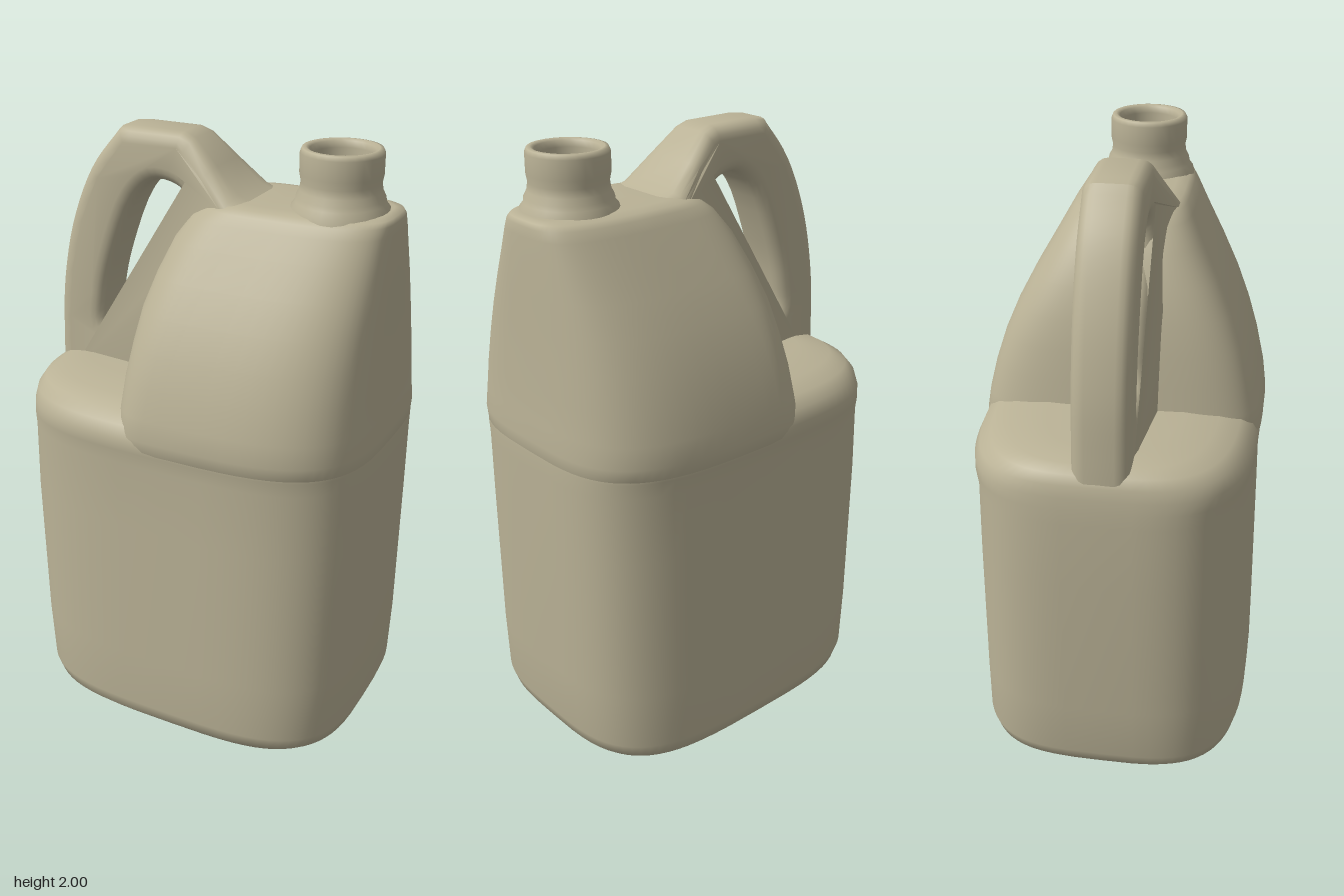
import * as THREE from 'three';
import { mergeVertices, toCreasedNormals } from 'three/addons/utils/BufferGeometryUtils.js';

const SEG = 72;

// Stacks superellipse rings: [y, centreX, leftHalf, rightHalf, halfDepth], capped at both ends
function loft(rows, power) {
  const pos = [], index = [];
  const sp = (v) => Math.sign(v) * Math.pow(Math.abs(v), 2 / power);
  for (const [y, cx, left, right, depth] of rows) {
    for (let i = 0; i < SEG; i++) {
      const a = (i / SEG) * Math.PI * 2;
      const c = sp(Math.cos(a)), s = sp(Math.sin(a));
      pos.push(cx + c * (c < 0 ? left : right), y, s * depth);
    }
  }
  for (let r = 0; r < rows.length - 1; r++) {
    for (let i = 0; i < SEG; i++) {
      const j = (i + 1) % SEG;
      const a = r * SEG + i, b = r * SEG + j, c = a + SEG, d = b + SEG;
      index.push(a, c, b, b, c, d);
    }
  }
  const last = (rows.length - 1) * SEG, n = rows.length * SEG;
  const first = rows[0], top = rows[rows.length - 1];
  pos.push(first[1], first[0], 0, top[1], top[0], 0);
  for (let i = 0; i < SEG; i++) {
    const j = (i + 1) % SEG;
    index.push(n, i, j, n + 1, last + j, last + i);
  }
  const g = new THREE.BufferGeometry();
  g.setAttribute('position', new THREE.Float32BufferAttribute(pos, 3));
  g.setIndex(index);
  g.computeVertexNormals();
  return g;
}

const curve = (pts, closed) =>
  new THREE.CatmullRomCurve3(pts.map(([x, y]) => new THREE.Vector3(x, y, 0)), closed, 'centripetal')
    .getPoints(pts.length * 4)
    .map((p) => new THREE.Vector2(p.x, p.y));

function handleGeometry() {
  // Outer sweep, flat grip and ramp down to the shoulder by the neck
  const outer = curve([[-0.585, 1.08], [-0.58, 1.25], [-0.565, 1.45], [-0.515, 1.67], [-0.43, 1.86], [-0.32, 1.995]]);
  const shape = new THREE.Shape([
    ...outer,
    ...[[-0.28, 2], [-0.1, 2], [-0.06, 1.985], [0.02, 1.91], [0.1, 1.835], [0.2, 1.8], [0.2, 1.08]]
      .map(([x, y]) => new THREE.Vector2(x, y)),
  ]);
  // Finger hole
  const hole = curve([
    [-0.4, 1.33], [-0.36, 1.31], [-0.26, 1.31], [-0.22, 1.34], [-0.2, 1.45], [-0.165, 1.58],
    [-0.08, 1.74], [-0.085, 1.8], [-0.13, 1.835], [-0.2, 1.84], [-0.27, 1.78], [-0.36, 1.57], [-0.395, 1.43],
  ], true);
  hole.pop();
  shape.holes.push(new THREE.Path(hole));
  let g = new THREE.ExtrudeGeometry(shape, {
    depth: 0.09, bevelEnabled: true, bevelThickness: 0.045, bevelSize: 0.045, bevelOffset: -0.045, bevelSegments: 4,
  });
  g.translate(0, 0, -0.045);
  // Widen the ramp where it blends into the body
  const p = g.attributes.position;
  for (let i = 0; i < p.count; i++) {
    const t = THREE.MathUtils.smoothstep(p.getX(i), -0.1, 0.12);
    p.setZ(i, p.getZ(i) * (1 + 0.75 * t) + 0.01);
  }
  g.deleteAttribute('uv');
  g.deleteAttribute('normal');
  g = mergeVertices(g, 1e-4);
  return toCreasedNormals(g, 0.7);
}

export function createModel() {
  const model = new THREE.Group();
  const plastic = new THREE.MeshStandardMaterial({ color: 0xbab296 });
  plastic.name = 'beige plastic';
  const add = (name, geometry) => {
    const mesh = new THREE.Mesh(geometry, plastic);
    mesh.name = name;
    model.add(mesh);
    return mesh;
  };

  // Lower tank with rounded base and domed shoulder under the handle
  add('lowerBody', loft([
    [0.02, 0, 0.25, 0.25, 0.17],
    [0.012, 0, 0.4, 0.4, 0.3],
    [0.005, 0, 0.48, 0.48, 0.36],
    [0.02, 0, 0.53, 0.53, 0.41],
    [0.055, 0, 0.563, 0.563, 0.443],
    [0.1, 0, 0.58, 0.578, 0.454],
    [0.3, 0, 0.593, 0.588, 0.452],
    [0.8, 0, 0.604, 0.597, 0.445],
    [1.03, 0, 0.6, 0.6, 0.441],
    [1.08, 0, 0.598, 0.6, 0.45],
    [1.12, 0, 0.594, 0.598, 0.45],
    [1.16, 0, 0.588, 0.588, 0.432],
    [1.19, 0, 0.572, 0.57, 0.395],
    [1.21, 0, 0.54, 0.54, 0.33],
    [1.225, 0, 0.45, 0.45, 0.22],
  ], 3.5));

  // Tapering upper tank beside the handle
  add('upperBody', loft([
    [1.04, 0, 0.18, 0.58, 0.425],
    [1.08, 0, 0.2, 0.599, 0.449],
    [1.13, 0, 0.22, 0.602, 0.456],
    [1.2, 0.01, 0.22, 0.586, 0.446],
    [1.3, 0.02, 0.22, 0.573, 0.422],
    [1.4, 0.035, 0.22, 0.555, 0.39],
    [1.5, 0.06, 0.23, 0.528, 0.348],
    [1.6, 0.09, 0.23, 0.497, 0.296],
    [1.7, 0.13, 0.23, 0.455, 0.238],
    [1.77, 0.17, 0.22, 0.413, 0.198],
    [1.8, 0.19, 0.2, 0.391, 0.178],
    [1.815, 0.2, 0.17, 0.375, 0.16],
    [1.822, 0.21, 0.12, 0.34, 0.125],
  ], 3.5));

  add('handle', handleGeometry());

  // Open neck with collar, rim and inner wall
  const profile = [
    [0.155, 1.79], [0.148, 1.825], [0.136, 1.84], [0.134, 1.855], [0.124, 1.875], [0.12, 1.9], [0.125, 1.925],
    [0.125, 1.985], [0.119, 1.998], [0.108, 2], [0.097, 1.994], [0.092, 1.975], [0.092, 1.86], [0.085, 1.845], [0, 1.845],
  ].map(([r, y]) => new THREE.Vector2(r, y));
  add('neck', new THREE.LatheGeometry(profile, 28)).position.set(0.4, 0, 0.015);

  return model;
}
